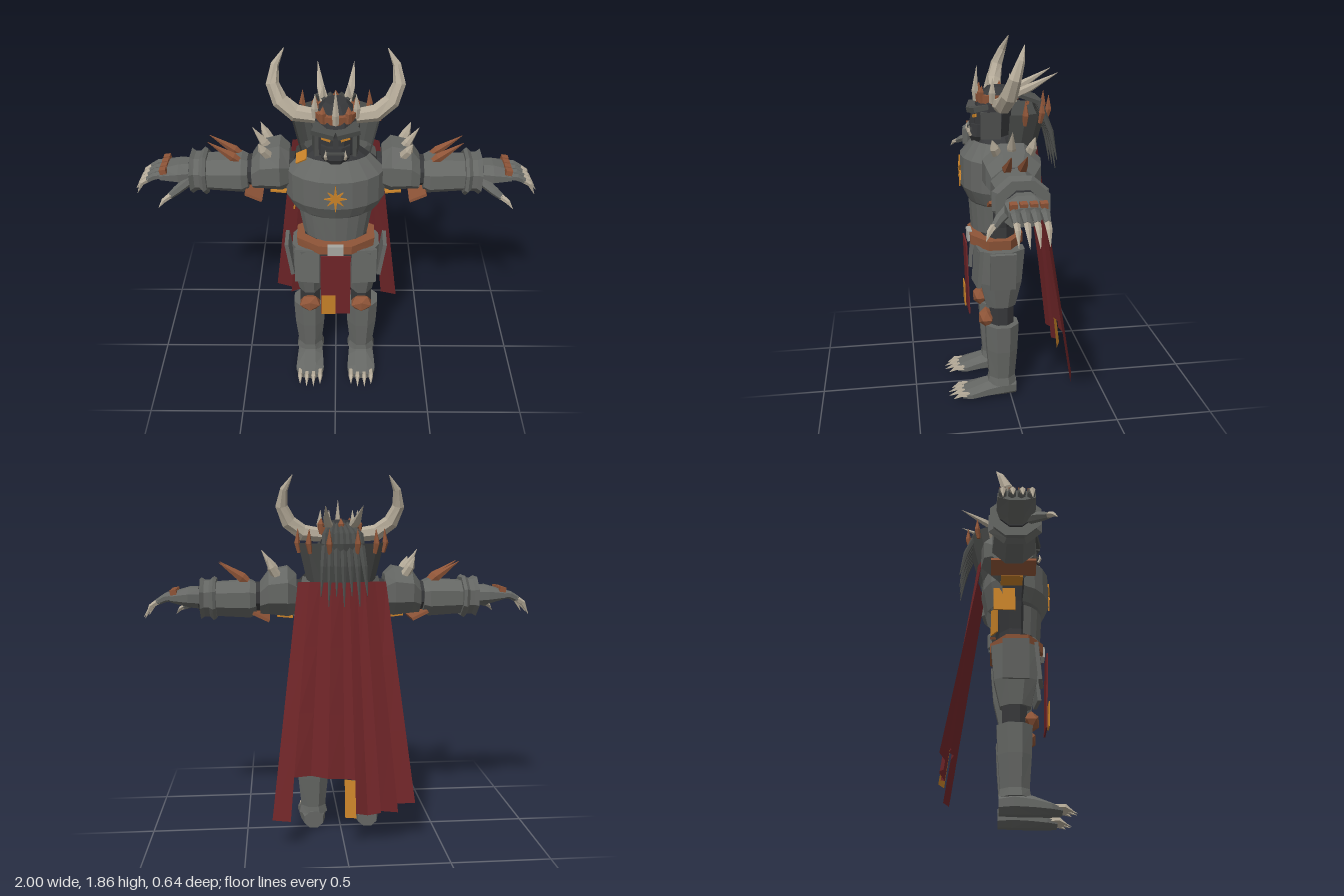
import * as THREE from 'three';

const V = (x, y, z) => new THREE.Vector3(x, y, z);
const mat = (name, color) => {
  const m = new THREE.MeshStandardMaterial({ color, side: THREE.DoubleSide });
  m.name = name;
  return m;
};

// Skin a list of rings with flat triangles; open rings make curved shells.
function skin(rings, open = false) {
  const p = [], n = rings[0].length, m = open ? n - 1 : n;
  const tri = (...v) => v.forEach(q => p.push(q.x, q.y, q.z));
  for (let j = 0; j < rings.length - 1; j++)
    for (let i = 0; i < m; i++) {
      const k = (i + 1) % n, A = rings[j], B = rings[j + 1];
      tri(A[i], B[i], B[k]);
      tri(A[i], B[k], A[k]);
    }
  if (!open)
    [rings[0], rings[rings.length - 1]].forEach((r, e) => {
      const c = r.reduce((s, q) => s.add(q), V(0, 0, 0)).divideScalar(n);
      r.forEach((q, i) => e ? tri(c, r[(i + 1) % n], q) : tri(c, q, r[(i + 1) % n]));
    });
  const g = new THREE.BufferGeometry();
  g.setAttribute('position', new THREE.Float32BufferAttribute(p, 3));
  return g;
}

// Sections along an axis: [position, centreA, centreB, radiusA, radiusB]
function loft(axis, sections, n = 8, arc = null) {
  const rings = sections.map(([t, a, b, ra, rb]) => {
    const ring = [], k = arc ? 1 : 1 / Math.cos(Math.PI / n);
    for (let i = 0; i < (arc ? n + 1 : n); i++) {
      const th = arc ? THREE.MathUtils.degToRad(arc[0] + (arc[1] - arc[0]) * i / n) : (i + 0.5) * 2 * Math.PI / n;
      const c = ra * k * Math.cos(th), s = rb * k * Math.sin(th);
      ring.push(axis === 'y' ? V(a + c, t, b + s) : axis === 'x' ? V(t, a + c, b - s) : V(a + c, b - s, t));
    }
    return ring;
  });
  return skin(rings, !!arc);
}

// Tapered horn, claw or strand along a path
function horn(path, radii, n = 6) {
  const pts = path.map(q => V(...q)), last = pts.length - 1;
  const d = pts[last].clone().sub(pts[0]);
  const ax = [Math.abs(d.x), Math.abs(d.y), Math.abs(d.z)], low = ax.indexOf(Math.min(...ax));
  const ref = V(+(low === 0), +(low === 1), +(low === 2));
  return skin(pts.map((q, j) => {
    const T = pts[Math.min(j + 1, last)].clone().sub(pts[Math.max(j - 1, 0)]).normalize();
    const U = ref.clone().cross(T).normalize(), W = T.clone().cross(U);
    return Array.from({ length: n }, (_, i) => {
      const th = i * 2 * Math.PI / n;
      return q.clone().addScaledVector(U, radii[j] * Math.cos(th)).addScaledVector(W, -radii[j] * Math.sin(th));
    });
  }));
}

function box(size, pos, rot = [0, 0, 0]) {
  const g = new THREE.BoxGeometry(...size);
  return g.applyMatrix4(new THREE.Matrix4().makeRotationFromEuler(new THREE.Euler(...rot)).setPosition(...pos));
}

// Mirror a flat geometry across x and restore its winding
function mirrored(g) {
  const m = g.clone(), p = m.attributes.position;
  for (let i = 0; i < p.count; i += 3)
    [0, 2, 1].forEach((s, k) => p.setXYZ(i + k, -g.attributes.position.getX(i + s), g.attributes.position.getY(i + s), g.attributes.position.getZ(i + s)));
  m.computeVertexNormals();
  return m;
}

export function createModel() {
  const root = new THREE.Group();
  root.name = 'hornedWarlord';
  const iron = mat('iron', 0x656764), darkIron = mat('darkIron', 0x4b4d4b), black = mat('blackenedHide', 0x37383a);
  const bone = mat('bone', 0xb4aa98), copper = mat('copper', 0x8f5538), gold = mat('ochre', 0xc78128);
  const red = mat('crimsonCloth', 0x6f2528), steel = mat('paleSteel', 0xa6a6a0);

  const add = (name, geo, m) => {
    const g = geo.index ? geo.toNonIndexed() : geo;
    g.computeVertexNormals();
    const mesh = new THREE.Mesh(g, m);
    mesh.name = name;
    root.add(mesh);
    return g;
  };
  const pair = (name, geo, m) => {
    const g = add(name + 'Left', geo, m);
    add(name + 'Right', mirrored(g), m);
  };

  // Torso: dark body with front and back armour shells
  add('body', loft('y', [[0.78, 0, 0.05, 0.17, 0.1], [0.95, 0, 0.05, 0.155, 0.09], [1.1, 0, 0.05, 0.175, 0.1],
    [1.3, 0, 0.05, 0.22, 0.13], [1.4, 0, 0.05, 0.1, 0.09]], 10), black);
  const chest = [[0.92, 0, 0.06, 0.165, 0.125], [1.07, 0, 0.06, 0.19, 0.135], [1.08, 0, 0.05, 0.215, 0.15],
    [1.15, 0, 0.05, 0.25, 0.185], [1.3, 0, 0.05, 0.25, 0.185], [1.38, 0, 0.05, 0.17, 0.12]];
  add('breastplate', loft('y', chest, 8, [14, 166]), iron);
  add('backplate', loft('y', [[1.08, 0, 0.02, 0.2, 0.12], [1.2, 0, 0.02, 0.24, 0.145], [1.36, 0, 0.02, 0.2, 0.13]], 6, [195, 345]), iron);
  add('sidePatch', box([0.008, 0.13, 0.11], [-0.206, 1.09, -0.005], [0, 0, -0.1]), gold);
  add('backPatch', box([0.06, 0.14, 0.008], [-0.13, 1.0, -0.055], [0, 0.5, 0]), gold);
  add('collarPatch', box([0.06, 0.008, 0.06], [-0.165, 1.37, 0.1], [0.4, 0, 0.6]), gold);

  // Eight-pointed chest star
  const star = new THREE.Shape(Array.from({ length: 16 }, (_, i) => {
    const a = i * Math.PI / 8, r = i % 2 ? 0.02 : i % 8 === 4 ? 0.083 : 0.055;
    return new THREE.Vector2(r * Math.cos(a), r * Math.sin(a));
  }));
  add('chestStar', new THREE.ExtrudeGeometry(star, { depth: 0.008, bevelEnabled: false }).translate(0, 1.215, 0.234), gold);

  // Belt, buckle and loincloth
  add('belt', loft('y', [[0.845, 0, 0.06, 0.195, 0.135], [0.895, 0, 0.06, 0.2, 0.135]], 8), copper);
  add('buckle', box([0.08, 0.055, 0.025], [0, 0.872, 0.195]), steel);
  add('loincloth', box([0.155, 0.4, 0.008], [0, 0.65, 0.211], [0.03, 0, 0]), red);
  add('loinclothPatch', box([0.075, 0.13, 0.006], [-0.037, 0.525, 0.22], [0.03, 0, 0]), gold);

  // High collar, open at the front, with copper thorns
  add('collar', loft('y', [[1.27, 0, -0.01, 0.16, 0.12], [1.53, 0, -0.03, 0.22, 0.17]], 8, [165, 375]), darkIron);
  for (const a of [190, 222, 252, 288, 318, 350]) {
    const c = Math.cos(a * Math.PI / 180), s = Math.sin(a * Math.PI / 180);
    add('collarThorn', horn([[0.215 * c, 1.48, -0.03 + 0.168 * s], [0.225 * c, 1.53, -0.03 + 0.18 * s],
      [0.22 * c, 1.6, -0.03 + 0.18 * s]], [0.01, 0.016, 0.001], 5), copper);
  }

  // Cape: folded columns with a ragged hem
  const cols = [-1, -0.75, -0.5, -0.32, -0.15, 0, 0.25, 0.5, 0.75, 1];
  const hems = [[0.235, 0.225], [0.18, 0.2], [0.19, 0.17], [0.17, 0.19], [0.36, 0.36], [0.36, 0.37], [0.37, 0.38], [0.38, 0.38], [0.16, 0.16]];
  const capeAt = (k, y) => {
    const u = cols[k], t = (1.34 - y) / 1.18;
    return V(u * (0.22 + 0.145 * t), y, -0.15 + 0.04 * u * u * (1 - t) - 0.145 * t + (k % 2 ? 1 : -1) * 0.013 * (0.3 + 0.7 * t));
  };
  const strip = (k, top, h) => skin([0, 0.33, 0.67, 1].map(f =>
    [0, 1].map(e => capeAt(k + e, top + (h[e] - top) * f))), true);
  hems.forEach((h, k) => add('capePanel', strip(k, 1.34, h), red));
  add('capePatch', strip(4, 0.36, [0.17, 0.165]).translate(0, 0, -0.008), gold);

  // Head, visor, jaw and face
  add('head', loft('y', [[1.33, 0, 0.06, 0.075, 0.07], [1.4, 0, 0.075, 0.09, 0.085], [1.52, 0, 0.07, 0.1, 0.09],
    [1.59, 0, 0.05, 0.095, 0.09], [1.64, 0, 0.04, 0.05, 0.05]]), black);
  add('jaw', loft('y', [[1.37, 0, 0.13, 0.05, 0.045], [1.4, 0, 0.135, 0.068, 0.055], [1.46, 0, 0.13, 0.068, 0.05]], 8), black);
  add('mouthPlate', box([0.09, 0.012, 0.012], [0, 1.435, 0.185]), darkIron);
  add('nose', box([0.025, 0.05, 0.03], [0, 1.48, 0.165], [-0.2, 0, 0]), black);
  pair('brow', box([0.11, 0.025, 0.075], [0.053, 1.538, 0.15], [0.15, 0.25, 0.12]), darkIron);
  pair('cheek', box([0.02, 0.13, 0.1], [0.097, 1.46, 0.09], [0, -0.15, 0]), darkIron);
  pair('eye', box([0.045, 0.016, 0.008], [0.045, 1.502, 0.164], [0, 0.2, 0.25]), gold);
  pair('fang', horn([[0.045, 1.405, 0.183], [0.048, 1.425, 0.193], [0.045, 1.455, 0.19]], [0.008, 0.008, 0.001], 5), bone);

  // Crown with bone spikes and copper points
  add('crownBand', loft('y', [[1.565, 0, 0.05, 0.1, 0.1], [1.605, 0, 0.05, 0.104, 0.104]], 10), copper);
  for (let i = 0; i < 10; i++) {
    const a = Math.PI / 2 + i * Math.PI / 5, c = Math.cos(a), s = Math.sin(a);
    const big = i % 2 === 0, tip = i === 0 ? 1.74 : big ? 1.69 : 1.65;
    add(big ? 'crownSpike' : 'crownPoint', horn([[0.1 * c, 1.57, 0.05 + 0.1 * s], [0.104 * c, 1.62, 0.05 + 0.104 * s],
      [0.1 * c, tip, 0.05 + 0.095 * s]], [0.015, 0.017, 0.001], 5), big ? bone : copper);
  }
  pair('greatHorn', horn([[0.07, 1.56, 0.05], [0.19, 1.575, 0.04], [0.262, 1.63, 0.025], [0.296, 1.71, 0.005],
    [0.283, 1.79, -0.025], [0.24, 1.86, -0.05]], [0.035, 0.043, 0.04, 0.032, 0.02, 0.002], 7), bone);
  pair('backHorn', horn([[0.05, 1.59, -0.01], [0.075, 1.64, -0.11], [0.09, 1.71, -0.24]], [0.024, 0.02, 0.001]), bone);

  // Hanging locks over the collar
  for (let i = -3; i <= 3; i++) {
    const x = i * 0.028, drop = i % 2 ? 0.05 : 0;
    add('hairLock', horn([[x * 0.6, 1.62, 0], [x, 1.57, -0.15], [x * 1.2, 1.42, -0.21], [x * 1.35, 1.23 + drop, -0.24]],
      [0.014, 0.018, 0.014, 0.002], 5), darkIron);
  }

  // Arms: shoulder, forearm, cuff and hand
  pair('upperArm', loft('x', [[0.2, 1.26, 0.03, 0.08, 0.08], [0.72, 1.25, 0.035, 0.06, 0.07]]), black);
  pair('pauldron', loft('x', [[0.225, 1.27, 0.015, 0.1, 0.1], [0.27, 1.285, 0.015, 0.125, 0.14],
    [0.365, 1.28, 0.02, 0.11, 0.13], [0.41, 1.25, 0.03, 0.08, 0.1]]), iron);
  pair('forearm', loft('x', [[0.43, 1.245, 0.035, 0.08, 0.09], [0.46, 1.245, 0.035, 0.095, 0.105],
    [0.63, 1.245, 0.035, 0.085, 0.095]]), iron);
  pair('cuff', loft('x', [[0.63, 1.248, 0.035, 0.098, 0.115], [0.645, 1.248, 0.035, 0.108, 0.125],
    [0.665, 1.248, 0.035, 0.09, 0.1], [0.69, 1.248, 0.035, 0.09, 0.1], [0.71, 1.248, 0.035, 0.102, 0.118]]), iron);
  pair('hand', loft('x', [[0.7, 1.25, 0.035, 0.055, 0.07], [0.77, 1.255, 0.035, 0.05, 0.088], [0.86, 1.255, 0.035, 0.025, 0.085]]), iron);
  pair('armpitPatch', box([0.08, 0.008, 0.11], [0.285, 1.155, 0.03], [0, 0, 0.1]), gold);
  pair('shoulderLame', box([0.09, 0.015, 0.22], [0.405, 1.16, 0.035], [0, 0, 0.45]), copper);
  [[0.4, 1.49, 0.03], [0.365, 1.45, 0.12], [0.37, 1.46, -0.08]].forEach(([x, y, z]) =>
    pair('shoulderSpike', horn([[0.32, 1.36, z * 0.7], [0.35, 1.41, z * 0.9], [x, y, z]], [0.026, 0.022, 0.001]), bone));
  [0.0, 0.07].forEach(z => pair('forearmBlade', horn([[0.45, 1.31, z], [0.5, 1.35, z], [0.615, 1.43, z]], [0.012, 0.024, 0.001], 5), copper));
  [-0.028, 0.014, 0.056, 0.098].forEach((z, i) => {
    const end = i % 3 ? 1 : 0.985;
    pair('knuckle', box([0.032, 0.026, 0.032], [0.842, 1.285, z], [0, 0, -0.15]), copper);
    pair('finger', horn([[0.83, 1.262, z], [0.885, 1.255, z], [0.925, 1.235, z]], [0.02, 0.02, 0.015]), iron);
    pair('claw', horn([[0.915, 1.24, z], [0.955, 1.215, z], [end, 1.155, z]], [0.015, 0.013, 0.001], 5), bone);
  });
  pair('thumb', horn([[0.72, 1.23, 0.1], [0.775, 1.205, 0.15], [0.81, 1.185, 0.175]], [0.026, 0.022, 0.015]), iron);
  pair('thumbClaw', horn([[0.805, 1.19, 0.173], [0.835, 1.175, 0.195], [0.86, 1.145, 0.212]], [0.015, 0.012, 0.001], 5), bone);

  // Legs: thigh armour, hip plates, knees, shins and clawed feet
  pair('thigh', loft('y', [[0.525, 0.14, 0.05, 0.058, 0.075], [0.66, 0.145, 0.05, 0.075, 0.105], [0.84, 0.145, 0.05, 0.08, 0.12]]), iron);
  pair('frontTasset', box([0.13, 0.2, 0.02], [0.147, 0.75, 0.168], [-0.08, 0.12, 0]), iron);
  pair('sideTasset', box([0.02, 0.2, 0.13], [0.242, 0.745, 0.05], [0, 0, -0.14]), iron);
  pair('kneeJoint', loft('y', [[0.38, 0.14, 0.045, 0.055, 0.06], [0.56, 0.14, 0.045, 0.055, 0.06]]), black);
  pair('kneecap', new THREE.IcosahedronGeometry(0.055, 0).scale(1.15, 0.95, 0.8).translate(0.14, 0.455, 0.125), copper);
  pair('shin', loft('y', [[0.08, 0.145, 0.045, 0.075, 0.075], [0.12, 0.145, 0.045, 0.064, 0.068],
    [0.28, 0.145, 0.045, 0.08, 0.08], [0.425, 0.145, 0.045, 0.085, 0.086]]), iron);
  pair('foot', loft('z', [[-0.03, 0.145, 0.05, 0.05, 0.045], [0.04, 0.145, 0.055, 0.065, 0.052],
    [0.13, 0.145, 0.045, 0.072, 0.043], [0.21, 0.145, 0.03, 0.078, 0.028], [0.26, 0.145, 0.022, 0.06, 0.018]]), iron);
  [-0.056, -0.019, 0.019, 0.056].forEach(dx => {
    const x = 0.143 + dx, reach = Math.abs(dx) > 0.03 ? 0.31 : 0.33;
    pair('toeClaw', horn([[x, 0.032, 0.225], [x, 0.034, 0.27], [x, 0.012, reach]], [0.015, 0.014, 0.001], 5), bone);
  });

  return root;
}
